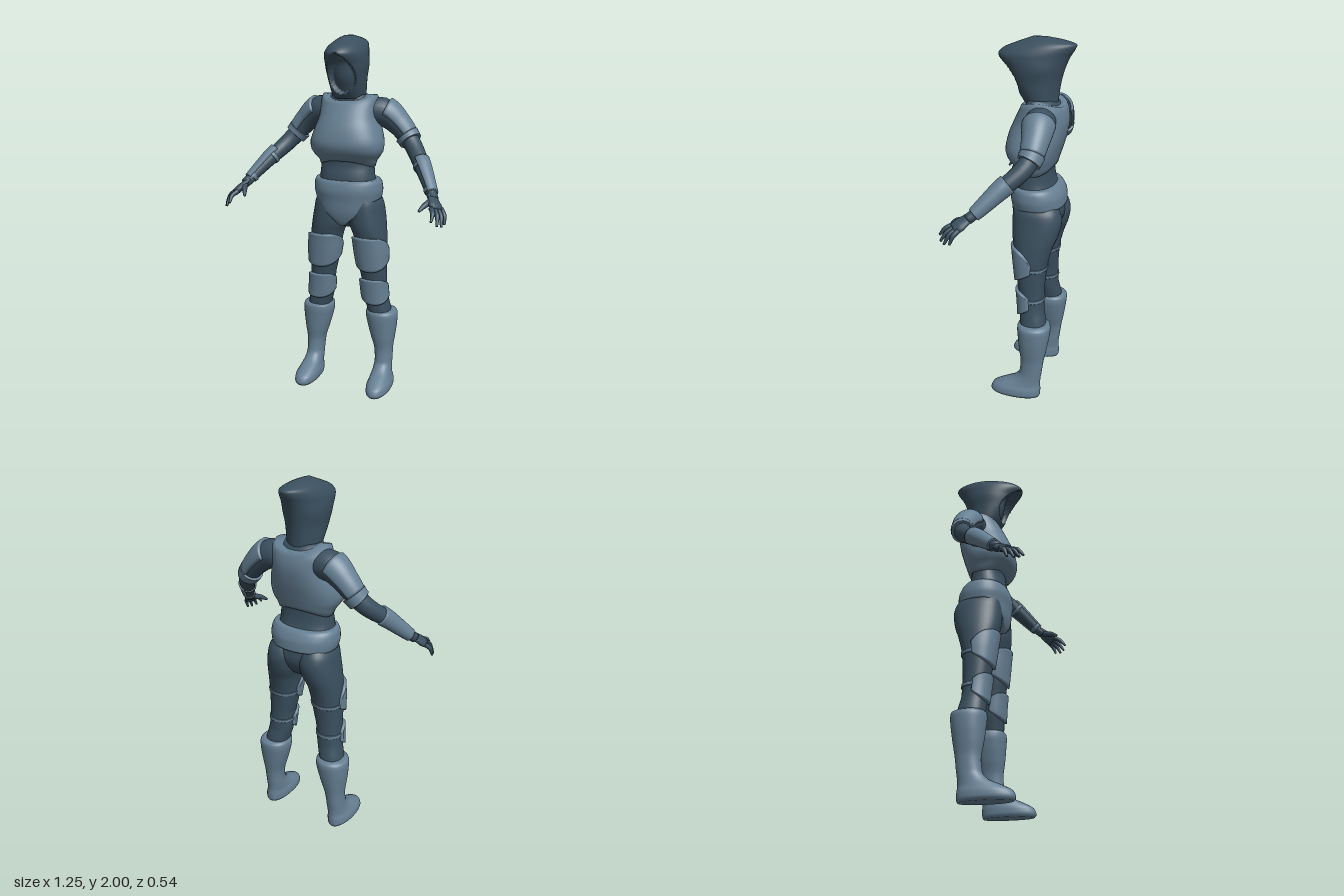
import * as THREE from 'three';
import { mergeVertices } from 'three/addons/utils/BufferGeometryUtils.js';

const cloth = new THREE.MeshStandardMaterial({ color: 0x3a4f5e, side: THREE.DoubleSide });
cloth.name = 'dark cloth';
const armour = new THREE.MeshStandardMaterial({ color: 0x66808f, side: THREE.DoubleSide });
armour.name = 'steel blue armour';
armour.color.set(0x668094);

const V3 = (a) => new THREE.Vector3(a[0], a[1], a[2]);
const { lerp, clamp } = THREE.MathUtils;

// Smooth surface from a rule f(u, v) -> Vector3, u and v in 0..1
function surface(nu, nv, f) {
  const pos = [], idx = [];
  for (let j = 0; j <= nv; j++)
    for (let i = 0; i <= nu; i++) pos.push(...f(i / nu, j / nv).toArray());
  for (let j = 0; j < nv; j++)
    for (let i = 0; i < nu; i++) {
      const a = j * (nu + 1) + i, b = a + 1, c = a + nu + 1, d = c + 1;
      idx.push(a, b, d, a, d, c);
    }
  let g = new THREE.BufferGeometry();
  g.setAttribute('position', new THREE.Float32BufferAttribute(pos, 3));
  g.setIndex(idx);
  g = mergeVertices(g, 1e-5);
  g.computeVertexNormals();
  return g;
}

// Monotone interpolation of rows keyed by their first number (height)
function profile(rows) {
  const slope = (i, k) => (rows[i + 1][k] - rows[i][k]) / (rows[i + 1][0] - rows[i][0]);
  const tangent = (i, k) => {
    if (i === 0) return slope(0, k);
    if (i === rows.length - 1) return slope(i - 1, k);
    const a = slope(i - 1, k), b = slope(i, k);
    return a * b <= 0 ? 0 : (2 * a * b) / (a + b);
  };
  return (y) => {
    let i = 0;
    while (i < rows.length - 2 && y > rows[i + 1][0]) i++;
    const h = rows[i + 1][0] - rows[i][0], t = clamp((y - rows[i][0]) / h, 0, 1);
    return rows[i].map((p, k) => k === 0 ? y :
      p * (1 + 2 * t) * (1 - t) ** 2 + rows[i + 1][k] * t * t * (3 - 2 * t) +
      h * (tangent(i, k) * t * (1 - t) ** 2 + tangent(i + 1, k) * t * t * (t - 1)));
  };
}

// Body cross-section rows: [y, xMin, xMax, zBack, zFront]; angle 0 faces the front
function body(rows, power = 0.9) {
  const at = profile(rows), e = (s) => Math.sign(s) * Math.abs(s) ** power;
  const point = (y, a, off = 0, scale = 1) => {
    const [, x0, x1, zb, zf] = at(y);
    return new THREE.Vector3(
      (x0 + x1) / 2 + e(Math.sin(a)) * ((x1 - x0) / 2 + off) * scale, y,
      (zb + zf) / 2 + e(Math.cos(a)) * ((zf - zb) / 2 + off) * scale);
  };
  point.low = rows[0][0];
  point.high = rows[rows.length - 1][0];
  return point;
}

// Closed solid following a body rule
function solid(point, rule = (p) => p, nu = 40, nv = 36) {
  return surface(nu, nv + 2, (u, v) => {
    const j = Math.round(v * (nv + 2)), t = clamp((j - 1) / nv, 0, 1);
    const end = j === 0 || j === nv + 2;
    return rule(point(lerp(point.low, point.high, t), (u * 2 - 1) * Math.PI, 0, end ? 0 : 1));
  });
}

// Plate lying on a body rule, with its edges turned inwards
function shell(point, half, bottom, top, off, lip = 0.02) {
  const nu = 40, nv = 16, full = half >= Math.PI;
  return surface(nu, nv, (u, v) => {
    const a = (u * 2 - 1) * half;
    const edge = v === 0 || v === 1 || (!full && (u === 0 || u === 1));
    const t = clamp((v * nv - 1) / (nv - 2), 0, 1);
    return point(lerp(bottom(a), top(a), t), a, edge ? off - lip : off);
  });
}

// Limb along [x, y, z, radius] points; optional range, arc, thickness and flattening
function limb(pts, { from = 0, to = 1, half = Math.PI, off = 0, flat = 1, ref = [0.6, 0.8, -0.1] } = {}) {
  const curve = new THREE.CatmullRomCurve3(pts.map(V3)), n = pts.length - 1, nv = 18;
  return surface(24, nv, (u, v) => {
    const a = (u * 2 - 1) * half, t = lerp(from, to, clamp((v * nv - 1) / (nv - 2), 0, 1));
    const i = Math.min(Math.floor(t * n), n - 1);
    const T = curve.getTangent(t), U = V3(ref).addScaledVector(T, -V3(ref).dot(T)).normalize();
    const W = T.clone().cross(U);
    const rim = v === 0 || v === 1, side = half < Math.PI && (u === 0 || u === 1);
    const r = rim && off === 0 ? 0 : lerp(pts[i][3], pts[i + 1][3], t * n - i) + (rim || side ? -0.005 : off);
    return curve.getPoint(t).addScaledVector(U, Math.cos(a) * r * flat).addScaledVector(W, Math.sin(a) * r);
  });
}

export function createModel() {
  const model = new THREE.Group();
  const add = (name, geometry, material, parent = model) => {
    const m = new THREE.Mesh(geometry, material);
    m.name = name;
    parent.add(m);
  };
  // Left part plus its mirrored twin
  const pair = (name, geometry, material) => {
    add('left' + name, geometry, material);
    const g = geometry.clone().scale(-1, 1, 1), ix = g.index.array;
    for (let i = 0; i < ix.length; i += 3) [ix[i], ix[i + 1]] = [ix[i + 1], ix[i]];
    g.computeVertexNormals();
    add('right' + name, g, material);
  };
  const sym = (rows) => rows.map(([y, w, zb, zf]) => [y, -w, w, zb, zf]);

  // Torso
  add('torso', solid(body(sym([
    [0.96, 0.07, -0.17, -0.02], [1.0, 0.14, -0.2, 0.015], [1.06, 0.185, -0.222, 0.033],
    [1.12, 0.18, -0.215, 0.04], [1.2, 0.165, -0.19, 0.042], [1.25, 0.156, -0.17, 0.038],
    [1.32, 0.152, -0.16, 0.022], [1.42, 0.16, -0.18, 0.03], [1.56, 0.145, -0.21, 0.02],
    [1.64, 0.135, -0.2, -0.01], [1.69, 0.1, -0.17, -0.02]]))), cloth);

  // Breastplate
  const chest = body(sym([
    [1.29, 0.15, -0.165, 0.015], [1.34, 0.165, -0.175, 0.032], [1.38, 0.198, -0.188, 0.068],
    [1.43, 0.204, -0.204, 0.086], [1.5, 0.186, -0.224, 0.074], [1.58, 0.162, -0.236, 0.042],
    [1.65, 0.16, -0.225, 0.008], [1.69, 0.15, -0.195, -0.01]]), 0.85);
  add('breastplate', shell(chest, Math.PI, (a) => 1.338 - 0.036 * Math.sin(a) ** 2,
    (a) => 1.66 + 0.03 * Math.sin(a) ** 2, 0.002, 0.05), armour);

  // Hip belt with its pointed front
  const hips = body(sym([
    [0.95, 0.05, -0.16, 0.005], [1.0, 0.115, -0.19, 0.035], [1.06, 0.172, -0.222, 0.05],
    [1.12, 0.184, -0.232, 0.055], [1.17, 0.193, -0.23, 0.062], [1.21, 0.19, -0.215, 0.056],
    [1.235, 0.178, -0.195, 0.046]]));
  add('hipBelt', shell(hips, Math.PI, (a) => 1.12 - 0.15 * Math.max(0, Math.cos(a)) ** 4,
    () => 1.232, 0.002, 0.025), armour);

  // Hood with a recessed face
  const hood = body(sym([
    [1.67, 0.09, -0.18, -0.005], [1.72, 0.097, -0.185, 0.03], [1.78, 0.103, -0.195, 0.07],
    [1.85, 0.112, -0.215, 0.1], [1.91, 0.106, -0.242, 0.138], [1.94, 0.096, -0.262, 0.112],
    [1.965, 0.08, -0.272, 0.055], [1.985, 0.055, -0.215, 0], [2.0, 0.018, -0.13, -0.04]]), 1);
  add('hood', solid(hood, (p) => {
    const k = (p.y - 1.7) / 0.21;
    if (k <= 0 || k >= 1 || p.z < -0.03) return p;
    const w = 0.08 * Math.sin(Math.PI * k ** 0.8) ** 0.65;
    p.z -= (0.03 + 0.06 * k) * clamp((1 - Math.abs(p.x) / w) * 4, 0, 1);
    return p;
  }, 72, 50), cloth);

  // Legs
  const leg = body([
    [0.4, 0.13, 0.26, -0.18, -0.035], [0.47, 0.115, 0.25, -0.175, -0.03], [0.55, 0.095, 0.235, -0.16, -0.025],
    [0.65, 0.085, 0.228, -0.158, -0.015], [0.72, 0.07, 0.228, -0.162, -0.005], [0.8, 0.055, 0.228, -0.17, 0.005],
    [0.9, 0.04, 0.222, -0.195, 0.018], [0.98, 0.01, 0.212, -0.224, 0.032], [1.05, 0.002, 0.2, -0.236, 0.034],
    [1.1, 0.015, 0.19, -0.225, 0.03], [1.15, 0.03, 0.16, -0.19, 0.02]]);
  pair('Leg', solid(leg), cloth);

  // Thigh and knee plates with their straps
  pair('ThighPlate', shell(leg, 1.75, (a) => 0.712 + 0.022 * a * a,
    (a) => 0.912 - 0.01 * a ** 4, 0.015), armour);
  pair('KneePlate', shell(leg, 1.6, (a) => 0.512 + 0.02 * a * a,
    (a) => 0.66 - 0.006 * a ** 4, 0.016), armour);
  for (const [name, y] of [['ThighStrap', 0.79], ['KneeStrap', 0.605]])
    pair(name, shell(leg, Math.PI, () => y - 0.009, () => y + 0.009, 0.005), armour);

  // Boots
  pair('Boot', solid(body([
    [0.0, 0.165, 0.278, -0.152, 0.125], [0.015, 0.155, 0.29, -0.158, 0.135], [0.045, 0.155, 0.288, -0.158, 0.125],
    [0.075, 0.162, 0.276, -0.155, 0.075], [0.11, 0.165, 0.268, -0.157, 0.0], [0.15, 0.166, 0.265, -0.163, -0.035],
    [0.22, 0.16, 0.266, -0.172, -0.042], [0.3, 0.137, 0.276, -0.187, -0.032], [0.38, 0.115, 0.285, -0.2, -0.024],
    [0.43, 0.106, 0.287, -0.205, -0.02], [0.455, 0.108, 0.28, -0.2, -0.022], [0.462, 0.118, 0.265, -0.185, -0.03]]),
    undefined, 40, 48), armour);

  // Arms with shoulder plates, bands and forearm guards
  const arm = [
    [0.11, 1.595, -0.12, 0.08], [0.19, 1.592, -0.13, 0.079], [0.27, 1.53, -0.135, 0.062],
    [0.335, 1.455, -0.125, 0.05], [0.38, 1.4, -0.09, 0.047], [0.44, 1.33, -0.01, 0.042],
    [0.52, 1.22, 0.1, 0.027], [0.54, 1.195, 0.13, 0.027]];
  pair('Arm', limb(arm), cloth);
  pair('ShoulderPlate', limb(arm, { from: 0.15, to: 0.385, half: 1.7, off: 0.01 }), armour);
  pair('ElbowBand', limb(arm, { from: 0.385, to: 0.45, off: 0.013 }), armour);
  pair('ForearmGuard', limb(arm, { from: 0.67, to: 0.87, half: 1.9, off: 0.009, ref: [0.7, 0.6, -0.3] }), armour);
  for (const t of [0.7, 0.83])
    pair('ForearmStrap', limb(arm, { from: t, to: t + 0.02, off: 0.005 }), armour);

  // Hands
  const ref = [0.63, 0.74, 0.23];
  pair('Palm', limb([[0.525, 1.215, 0.11, 0.026], [0.543, 1.192, 0.138, 0.033],
    [0.56, 1.17, 0.165, 0.041], [0.574, 1.152, 0.188, 0.036]], { flat: 0.5, ref }), cloth);
  const tips = [[0.565, 1.11, 0.268], [0.592, 1.088, 0.254], [0.609, 1.08, 0.23], [0.617, 1.085, 0.198]];
  tips.forEach((tip, i) => {
    const k = i / 3, base = [lerp(0.548, 0.588, k), lerp(1.164, 1.155, k), lerp(0.203, 0.158, k)];
    const mid = base.map((b, n) => (b + tip[n]) / 2 + [0.008, 0.008, 0.003][n]);
    pair('Finger' + (i + 1), limb([[...base, 0.013], [...mid, 0.012], [...tip, 0.006]], { ref }), cloth);
  });
  pair('Thumb', limb([[0.535, 1.19, 0.145, 0.018], [0.51, 1.172, 0.195, 0.014], [0.491, 1.15, 0.23, 0.007]],
    { ref }), cloth);

  return model;
}
